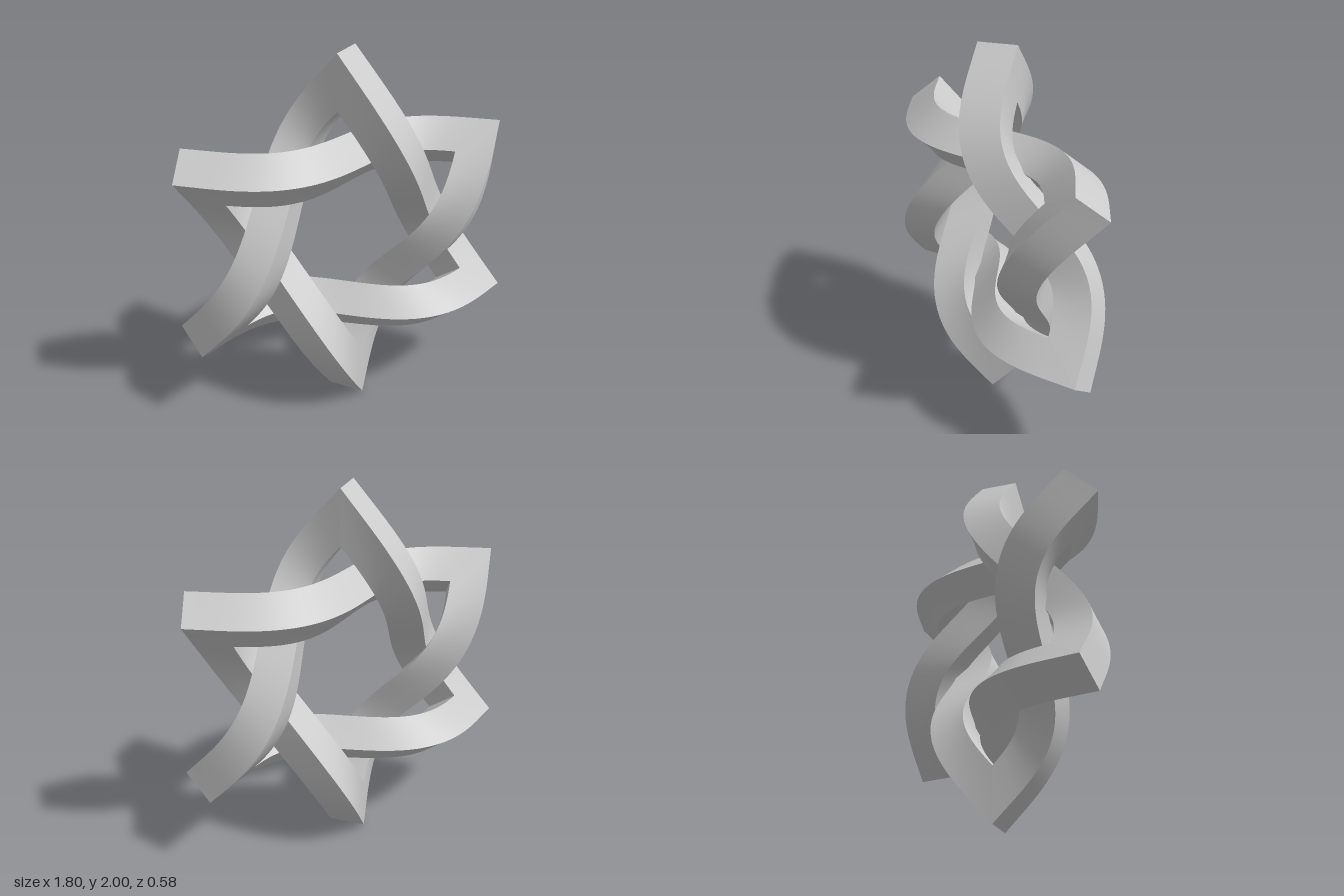
import * as THREE from 'three';

const R = 0.855;               // centre line corner radius of each triangle
const L = R * Math.sqrt(3);    // side length of the centre line
const Q = 0.135;               // half diagonal of the diamond section
const A = 0.15;                // depth of the over-under wave
const N = 56;                  // steps along a bar
const C = 0.072, H = 0.145;    // half sizes of the section at a corner

// Section at the top corner, in the order front, outer, back, inner
const corner = [[-C, R + H, C], [C, R + H, -C], [C, R - H, -C], [-C, R - H, C]]
  .map((p) => new THREE.Vector3(...p));
const Z = new THREE.Vector3(0, 0, 1);
const along = new THREE.Vector3(0.5, -Math.sqrt(3) / 2, 0);
const outward = new THREE.Vector3(Math.sqrt(3) / 2, 0.5, 0);

// Each ridge: offset across the wave, offset sideways, start and end on the path
const ridges = [
  [Q, 0, -0.054, 0.946],
  [0, Q, -0.05, 1.05],
  [-Q, 0, 0.054, 1.054],
  [0, -Q, 0.05, 0.95],
];

// Point of a ridge on the waving path
function sweep([n, w, s0, s1], u) {
  const s = THREE.MathUtils.lerp(s0, s1, u);
  const slope = Math.atan(2 * Math.PI * A / L * Math.cos(2 * Math.PI * s));
  return new THREE.Vector3(0, R, 0)
    .addScaledVector(along, s * L - n * Math.sin(slope))
    .addScaledVector(outward, w)
    .addScaledVector(Z, A * Math.sin(2 * Math.PI * s) + n * Math.cos(slope));
}

// Ridge line pinned to the shared corner points, so that bars meet exactly
function ridgeLine(k) {
  const start = corner[k].clone().sub(sweep(ridges[k], 0));
  const end = corner[(k + 3) % 4].clone().applyAxisAngle(Z, -2 * Math.PI / 3).sub(sweep(ridges[k], 1));
  return Array.from({ length: N + 1 }, (_, i) =>
    sweep(ridges[k], i / N).add(start.clone().lerp(end, i / N)));
}

// Four separate strips keep the long edges sharp and the faces smooth
function barGeometry() {
  const lines = ridges.map((_, k) => ridgeLine(k));
  const pos = [], index = [];
  for (let k = 0; k < 4; k++) {
    const base = pos.length / 3;
    for (let i = 0; i <= N; i++) {
      pos.push(...lines[k][i].toArray(), ...lines[(k + 1) % 4][i].toArray());
      if (i < N) {
        const a = base + 2 * i;
        index.push(a, a + 2, a + 1, a + 1, a + 2, a + 3);
      }
    }
  }
  const geo = new THREE.BufferGeometry();
  geo.setAttribute('position', new THREE.Float32BufferAttribute(pos, 3));
  geo.setIndex(index);
  geo.computeVertexNormals();
  return geo;
}

export function createModel() {
  const model = new THREE.Group();
  model.name = 'interlacedStar';
  const material = new THREE.MeshStandardMaterial({ color: 0xcccccc });
  const geo = barGeometry();
  // Two linked triangles of three bars each
  ['uprightTriangle', 'invertedTriangle'].forEach((name, t) => {
    const triangle = new THREE.Group();
    triangle.name = name;
    triangle.rotation.z = t * Math.PI;
    triangle.position.y = 1;
    for (let i = 0; i < 3; i++) {
      const bar = new THREE.Mesh(geo, material);
      bar.name = 'wavyBar' + (i + 1);
      bar.rotation.z = -i * 2 * Math.PI / 3;
      triangle.add(bar);
    }
    model.add(triangle);
  });
  return model;
}
